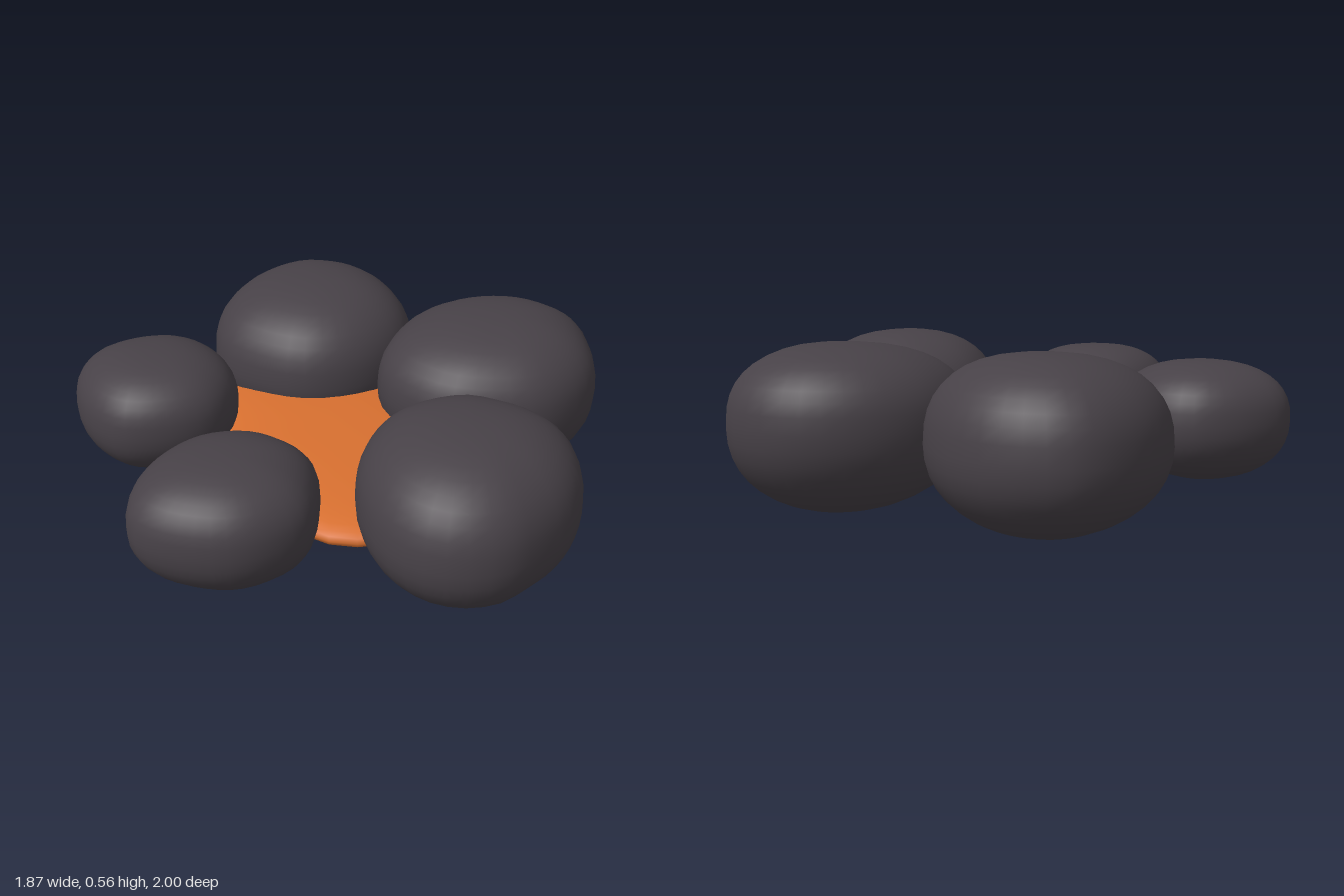
import * as THREE from 'three';

const SEGMENTS = 36;
const RINGS = 20;

// Rounded pebble: a plan outline [x, z] (counter-clockwise from above) shrunk
// towards its centre along a superelliptic profile from y = low to y = high.
function pebble(outline, { low, mid, high, center, topPower = 2.45, bottomPower = 2.15 }) {
  const curve = new THREE.CatmullRomCurve3(
    outline.map(([x, z]) => new THREE.Vector3(x, 0, z)), true, 'centripetal');
  const plan = curve.getSpacedPoints(SEGMENTS).slice(0, SEGMENTS);
  const [cx, cz] = center;
  const positions = [cx, low, cz];
  const index = [];
  const id = (ring, i) => 1 + (ring - 1) * SEGMENTS + (i % SEGMENTS);

  for (let r = 1; r < RINGS; r++) {
    const angle = (r / RINGS - 0.5) * Math.PI;
    const up = angle > 0;
    const power = 2 / (up ? topPower : bottomPower);
    const scale = Math.cos(angle) ** power;
    const rise = Math.abs(Math.sin(angle)) ** power;
    const y = up ? mid + (high - mid) * rise : mid - (mid - low) * rise;
    for (const p of plan) {
      positions.push(cx + (p.x - cx) * scale, y, cz + (p.z - cz) * scale);
    }
  }
  const top = positions.length / 3;
  positions.push(cx, high, cz);

  for (let i = 0; i < SEGMENTS; i++) {
    index.push(0, id(1, i + 1), id(1, i));
    for (let r = 1; r < RINGS - 1; r++) {
      const a = id(r, i), b = id(r, i + 1), c = id(r + 1, i + 1), d = id(r + 1, i);
      index.push(a, b, c, a, c, d);
    }
    index.push(id(RINGS - 1, i), id(RINGS - 1, i + 1), top);
  }
  const geometry = new THREE.BufferGeometry();
  geometry.setAttribute('position', new THREE.Float32BufferAttribute(positions, 3));
  geometry.setIndex(index);
  geometry.computeVertexNormals();
  return geometry;
}

export function createModel() {
  const stone = new THREE.MeshStandardMaterial({ name: 'charcoal stone', color: 0x474147 });
  const ember = new THREE.MeshStandardMaterial({ name: 'ember orange', color: 0xd87030 });
  const group = new THREE.Group();
  group.name = 'stoneRing';

  const add = (name, material, outline, shape) => {
    const mesh = new THREE.Mesh(pebble(outline, shape), material);
    mesh.name = name;
    group.add(mesh);
  };

  // Three large stones
  add('leftStone', stone, [
    [0.93, -0.02], [0.9, -0.15], [0.82, -0.27], [0.69, -0.35], [0.52, -0.38], [0.35, -0.345],
    [0.22, -0.25], [0.13, -0.13], [0.11, 0], [0.14, 0.11], [0.21, 0.23], [0.34, 0.32],
    [0.5, 0.375], [0.67, 0.345], [0.79, 0.27], [0.88, 0.13],
  ], { low: 0, mid: 0.3, high: 0.555, center: [0.55, 0] });

  add('frontStone', stone, [
    [-0.05, 0.26], [-0.18, 0.37], [-0.25, 0.5], [-0.28, 0.65], [-0.27, 0.77], [-0.22, 0.88],
    [-0.13, 0.96], [0, 0.995], [0.12, 0.97], [0.25, 0.92], [0.35, 0.84], [0.42, 0.74],
    [0.46, 0.61], [0.43, 0.47], [0.37, 0.37], [0.27, 0.265], [0.13, 0.23],
  ], { low: 0.005, mid: 0.27, high: 0.545, center: [0.08, 0.62] });

  add('backStone', stone, [
    [0.02, -0.2], [0.17, -0.21], [0.33, -0.29], [0.42, -0.42], [0.45, -0.6], [0.44, -0.7],
    [0.38, -0.85], [0.28, -0.95], [0.2, -0.995], [0.1, -1], [-0.06, -0.95], [-0.2, -0.84],
    [-0.28, -0.72], [-0.31, -0.55], [-0.25, -0.4], [-0.12, -0.25],
  ], { low: 0.005, mid: 0.27, high: 0.553, center: [0.11, -0.6] });

  // Two small stones
  add('backRightStone', stone, [
    [-0.335, -0.38], [-0.36, -0.5], [-0.43, -0.6], [-0.54, -0.65], [-0.66, -0.66], [-0.78, -0.63],
    [-0.86, -0.54], [-0.89, -0.38], [-0.865, -0.25], [-0.8, -0.15], [-0.65, -0.09], [-0.5, -0.1],
    [-0.4, -0.18], [-0.35, -0.27],
  ], { low: 0.08, mid: 0.29, high: 0.485, center: [-0.62, -0.38] });

  add('frontRightStone', stone, [
    [-0.32, 0.36], [-0.35, 0.25], [-0.44, 0.14], [-0.6, 0.09], [-0.75, 0.13], [-0.88, 0.24],
    [-0.935, 0.38], [-0.91, 0.47], [-0.82, 0.57], [-0.7, 0.64], [-0.58, 0.65], [-0.45, 0.61],
    [-0.37, 0.5],
  ], { low: 0.075, mid: 0.29, high: 0.483, center: [-0.62, 0.37] });

  // Thin rounded bed between the stones
  add('emberBed', ember, [
    [0.32, 0], [0.3, -0.18], [0.24, -0.36], [0.1, -0.52], [-0.1, -0.58], [-0.25, -0.58],
    [-0.36, -0.49], [-0.45, -0.22], [-0.505, 0], [-0.48, 0.2], [-0.37, 0.5], [-0.26, 0.58],
    [-0.1, 0.6], [0.1, 0.53], [0.24, 0.36], [0.3, 0.18],
  ], { low: 0.12, mid: 0.18, high: 0.245, center: [-0.08, 0], topPower: 2.6, bottomPower: 2.6 });

  return group;
}
